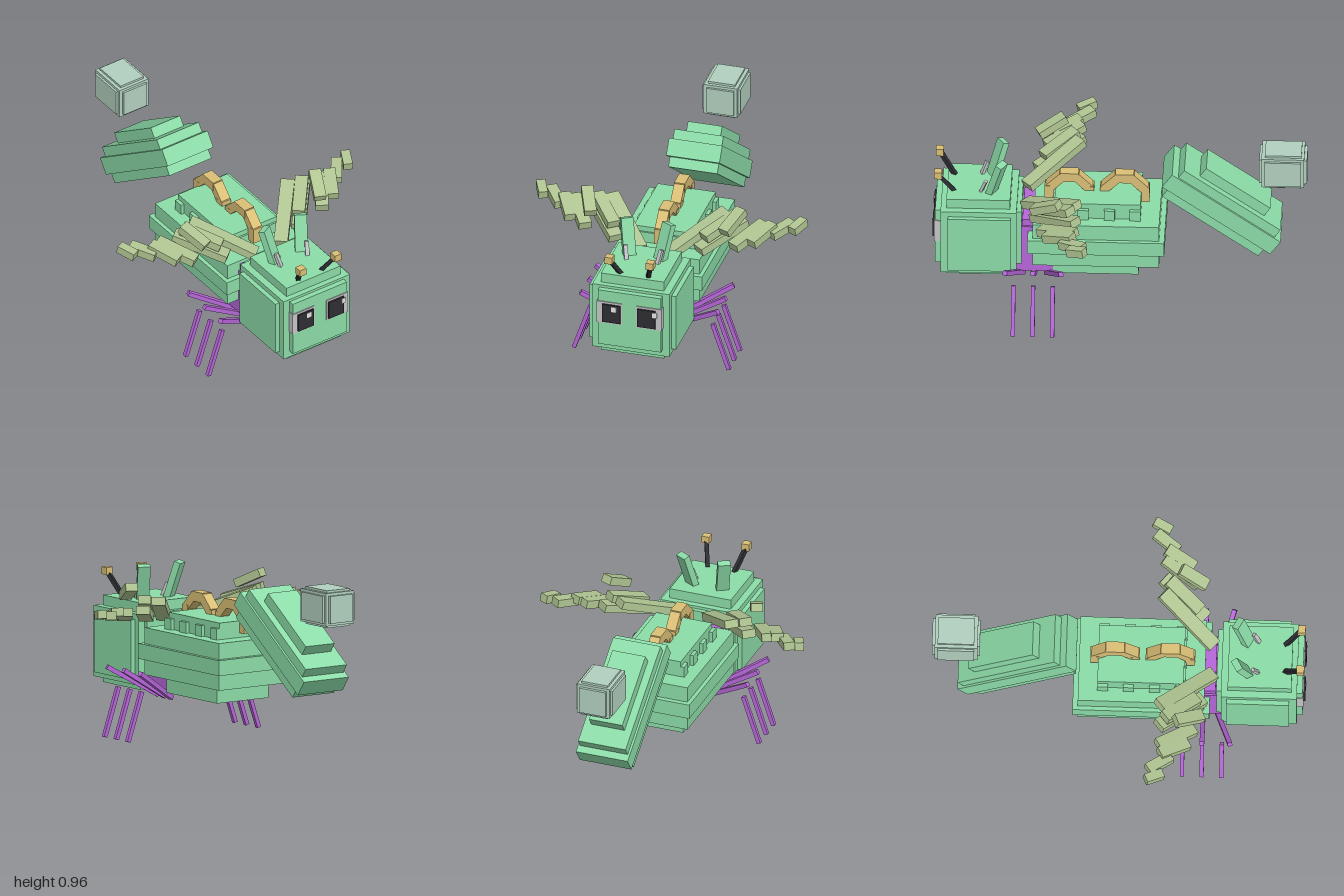
import * as THREE from 'three';

const mat = (name, color) => Object.assign(new THREE.MeshStandardMaterial({ color }), { name });

export function createModel() {
  const green = mat('mint green', 0x8cdca8);
  const pale = mat('pale grey green', 0xb2d0bf);
  const olive = mat('wing olive', 0xb0c592);
  const purple = mat('purple', 0xb767d9);
  const gold = mat('gold', 0xdabf76);
  const black = mat('black', 0x2d2d33);
  const grey = mat('light grey', 0xc6c6ca);
  const white = mat('white', 0xf2f2f2);

  const root = new THREE.Group();
  const group = (name, parent = root) => {
    const g = new THREE.Group();
    g.name = name;
    parent.add(g);
    return g;
  };
  // Box given by its extents on each axis
  const box = (parent, name, m, x0, x1, y0, y1, z0, z1) => {
    const mesh = new THREE.Mesh(new THREE.BoxGeometry(x1 - x0, y1 - y0, z1 - z0), m);
    mesh.position.set((x0 + x1) / 2, (y0 + y1) / 2, (z0 + z1) / 2);
    mesh.name = name;
    parent.add(mesh);
    return mesh;
  };
  const slab = (parent, name, m, w, y0, y1, z0, z1) => box(parent, name, m, -w, w, y0, y1, z0, z1);
  // Box beam running from a to b
  const beam = (parent, name, m, a, b, w, h) => {
    const p = new THREE.Vector3(...a), q = new THREE.Vector3(...b);
    const mesh = new THREE.Mesh(new THREE.BoxGeometry(w, h, p.distanceTo(q)), m);
    mesh.position.copy(p).add(q).multiplyScalar(0.5);
    mesh.lookAt(q);
    mesh.name = name;
    parent.add(mesh);
  };

  // Head: overlapping boxes with stepped edges
  const head = group('head');
  slab(head, 'headTall', green, 0.175, 0.23, 0.70, 0.58, 0.92);
  slab(head, 'headWide', green, 0.24, 0.29, 0.615, 0.575, 0.91);
  slab(head, 'headDeep', green, 0.175, 0.30, 0.63, 0.52, 0.98);
  slab(head, 'headBevel', green, 0.214, 0.262, 0.645, 0.545, 0.95);

  // Eyes, with highlights on the same side of both
  const eyes = group('eyes');
  for (const s of [-1, 1]) {
    const span = (a, b) => (s > 0 ? [a, b] : [-b, -a]);
    box(eyes, 'eyeFrame', grey, ...span(0.04, 0.18), 0.435, 0.565, 0.925, 0.985);
    box(eyes, 'eye', black, ...span(0.048, 0.148), 0.445, 0.553, 0.94, 0.994);
    const hx = s > 0 ? 0.13 : -0.095;
    box(eyes, 'eyeHighlight', white, hx, hx + 0.027, 0.515, 0.545, 0.992, 0.998);
  }

  // Thorax
  const thorax = group('thorax');
  slab(thorax, 'thoraxFront', purple, 0.165, 0.25, 0.53, 0.32, 0.58);
  slab(thorax, 'thoraxRear', purple, 0.155, 0.27, 0.57, 0.40, 0.515);

  // Layered body
  const body = group('body');
  slab(body, 'bodyCore', green, 0.238, 0.335, 0.59, -0.217, 0.457);
  slab(body, 'bodyRim', green, 0.26, 0.42, 0.503, -0.245, 0.485);
  slab(body, 'belly', green, 0.17, 0.245, 0.335, -0.105, 0.35);
  slab(body, 'backPlate', green, 0.16, 0.59, 0.68, -0.115, 0.345);
  for (const z of [-0.115, 0.022, 0.162, 0.298])
    slab(body, 'backStud', green, 0.18, 0.59, 0.65, z, z + 0.057);

  // Two gold arches on the back
  for (const c of [-0.025, 0.27]) {
    const arch = group('backArch');
    slab(arch, 'archTop', gold, 0.03, 0.732, 0.785, c - 0.05, c + 0.05);
    for (const s of [-1, 1]) {
      beam(arch, 'archShoulder', gold, [0, 0.762, c + s * 0.035], [0, 0.69, c + s * 0.108], 0.058, 0.05);
      const z = c + s * 0.107;
      slab(arch, 'archFoot', gold, 0.03, 0.615, 0.705, z - 0.025, z + 0.025);
    }
  }

  // Tilted tail shell
  const tail = group('tail');
  slab(tail, 'tailCore', green, 0.136, -0.13, 0.075, -0.315, 0.315);
  slab(tail, 'tailRim', green, 0.148, -0.075, 0.02, -0.355, 0.355);
  slab(tail, 'tailTop', green, 0.095, 0.075, 0.134, -0.205, 0.215);
  tail.position.set(0, 0.646, -0.561);
  tail.rotation.x = -0.62;

  // Floating tail tip
  const tip = group('tailTip');
  slab(tip, 'tipTall', pale, 0.075, 0.755, 0.957, -0.97, -0.775);
  slab(tip, 'tipWide', pale, 0.105, 0.782, 0.93, -0.97, -0.775);
  slab(tip, 'tipDeep', pale, 0.075, 0.782, 0.93, -1.0, -0.745);
  slab(tip, 'tipBevel', pale, 0.093, 0.768, 0.945, -0.985, -0.757);

  // Wing segments: start, end, width
  const wingSegments = [
    [[0.08, 0.63, 0.50], [0.32, 0.77, 0.22], 0.075],
    [[0.25, 0.71, 0.42], [0.39, 0.78, 0.25], 0.07],
    [[0.37, 0.775, 0.45], [0.43, 0.845, 0.31], 0.065],
    [[0.23, 0.645, 0.45], [0.42, 0.73, 0.22], 0.075],
    [[0.41, 0.67, 0.41], [0.53, 0.73, 0.22], 0.07],
    [[0.50, 0.69, 0.38], [0.58, 0.735, 0.23], 0.065],
    [[0.585, 0.705, 0.29], [0.67, 0.73, 0.17], 0.06],
    [[0.69, 0.725, 0.25], [0.732, 0.745, 0.16], 0.05],
  ];
  for (const s of [-1, 1]) {
    const side = s > 0 ? 'left' : 'right';
    const m = ([x, y, z]) => [s * x, y, z];

    const wing = group(side + 'Wing');
    for (const [a, b, w] of wingSegments) beam(wing, 'wingSegment', olive, m(a), m(b), w, 0.045);

    // Legs: fanned thighs and upright shins
    const legs = group(side + 'Legs');
    for (const k of [-1, 0, 1]) {
      beam(legs, 'thigh', purple, m([0.11, 0.208, 0.45 + k * 0.06]), m([0.382, 0.373, 0.45 + k * 0.15]), 0.025, 0.025);
      beam(legs, 'shin', purple, m([0.34, 0.268, 0.45 + k * 0.105]), m([0.43, 0.004, 0.45 + k * 0.105]), 0.022, 0.022);
    }

    // Antenna, ear and ear spike
    const top = group(side + 'HeadTop');
    beam(top, 'antenna', black, m([0.075, 0.69, 0.88]), m([0.113, 0.81, 0.96]), 0.022, 0.022);
    const ax = s * 0.114;
    box(top, 'antennaKnob', gold, ax - 0.021, ax + 0.021, 0.80, 0.84, 0.945, 0.987);
    beam(top, 'ear', green, m([0.085, 0.69, 0.685]), m([0.118, 0.89, 0.627]), 0.068, 0.037);
    beam(top, 'earSpike', grey, m([0.085, 0.69, 0.742]), m([0.1, 0.77, 0.712]), 0.022, 0.016);
  }
  return root;
}
